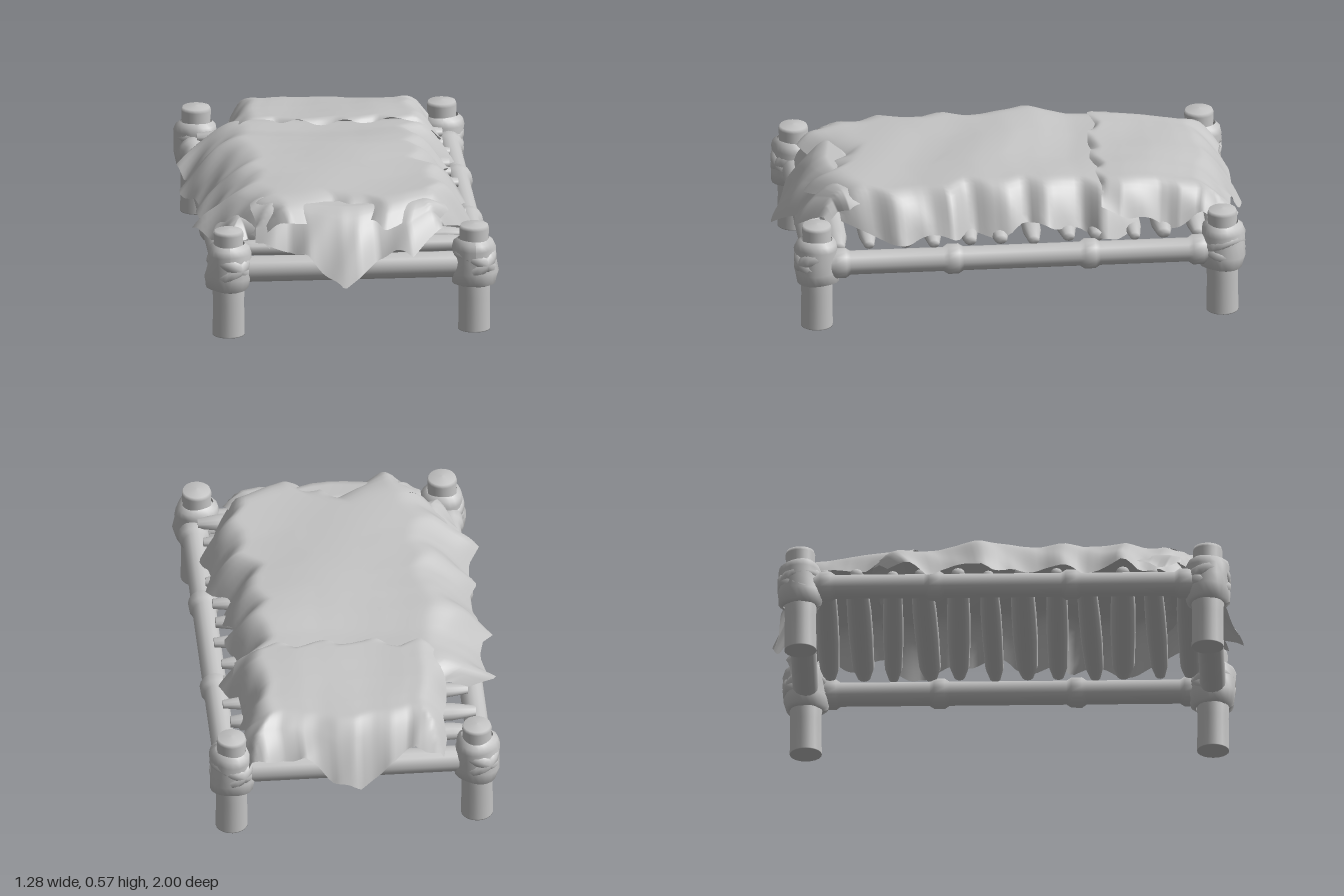
import * as THREE from 'three';

const paleGrey = new THREE.MeshStandardMaterial({ color: 0xc4c4c4, side: THREE.DoubleSide });
paleGrey.name = 'paleGrey';

// Linear sample of evenly spaced keys, t from 0 to 1
function sample(keys, t) {
  const f = Math.min(Math.max(t, 0), 1) * (keys.length - 1);
  const i = Math.min(Math.floor(f), keys.length - 2);
  return THREE.MathUtils.lerp(keys[i], keys[i + 1], f - i);
}

function part(group, name, geometry, x = 0, y = 0, z = 0) {
  const mesh = new THREE.Mesh(geometry, paleGrey);
  mesh.name = name;
  mesh.position.set(x, y, z);
  group.add(mesh);
  return mesh;
}

// Lathe from [radius, height] pairs
const lathe = (points, sides = 20) =>
  new THREE.LatheGeometry(points.map(([r, y]) => new THREE.Vector2(r, y)), sides);

// Bamboo pole along y, with swollen nodes at the given heights
function pole(radius, length, nodes = []) {
  const h = length / 2;
  const pts = [[0, -h], [radius, -h]];
  for (const n of nodes) {
    pts.push([radius, n - 0.045], [radius * 1.25, n - 0.025], [radius * 1.27, n + 0.02], [radius, n + 0.04]);
  }
  pts.push([radius, h], [0, h]);
  return lathe(pts, 16);
}

// Ragged cloth: four edge outlines in plan, each with a drop and a roll-off width
function cloth({ left, right, back, front, top, drops, widths, power, seed }) {
  const geo = new THREE.PlaneGeometry(1, 1, 56, 56);
  const p = geo.attributes.position;
  for (let i = 0; i < p.count; i++) {
    const u = p.getX(i) + 0.5, v = 0.5 - p.getY(i);
    const x = THREE.MathUtils.lerp(sample(left, v), sample(right, v), u);
    const z = THREE.MathUtils.lerp(sample(back, u), sample(front, u), v);
    const fall = [u, 1 - u, v, 1 - v].map((d, k) => Math.pow(Math.max(0, 1 - d / widths[k]), power));
    const along = [v, v, u, u];
    let drop = 0;
    fall.forEach((f, k) => { drop = Math.max(drop, f * sample(drops[k], along[k])); });
    const edge = Math.max(...fall);
    const wrinkle = 0.005 * Math.sin(9 * x + 5 * z + seed) + 0.004 * Math.sin(13 * z - 7 * x + seed * 2);
    const fold = 0.012 * edge * Math.sin(31 * x + 27 * z + seed);
    p.setXYZ(i, x, sample(top, v) + wrinkle + fold - drop, z);
  }
  geo.computeVertexNormals();
  return geo;
}

// Lumpy rope wrap around a corner
function knotGeometry(seed) {
  const geo = lathe([[0.068, -0.1], [0.09, -0.09], [0.098, -0.04], [0.09, 0.01], [0.092, 0.06], [0.084, 0.085], [0.066, 0.1]], 22);
  const p = geo.attributes.position;
  for (let i = 0; i < p.count; i++) {
    const a = Math.atan2(p.getZ(i), p.getX(i));
    const s = 1 + 0.07 * Math.sin(3 * a + 25 * p.getY(i) + seed);
    p.setX(i, p.getX(i) * s);
    p.setZ(i, p.getZ(i) * s);
  }
  geo.computeVertexNormals();
  return geo;
}

export function createModel() {
  const model = new THREE.Group();
  model.name = 'bambooBed';
  const xL = -0.505, xR = 0.537, zF = 0.855, zB = -0.868;

  // Corner posts with rope lashings
  [[xL, zF], [xR, zF], [xL, zB], [xR, zB]].forEach(([x, z], i) => {
    const post = new THREE.Group();
    post.name = 'cornerPost';
    post.position.set(x, 0, z);
    part(post, 'leg', lathe([[0, 0], [0.068, 0], [0.068, 0.004], [0.066, 0.15], [0.069, 0.22], [0.06, 0.38], [0.063, 0.445], [0.058, 0.46], [0, 0.466]]));
    part(post, 'lashing', knotGeometry(i * 1.7), 0, 0.3, 0);
    for (const tilt of [-1, 1]) {
      const rope = part(post, 'ropeLoop', new THREE.TorusGeometry(0.08, 0.022, 8, 24), 0, 0.3, 0);
      rope.rotation.set(Math.PI / 2 + 0.35 * tilt, 0.5 * tilt, 0);
      rope.scale.z = 1.4;
    }
    model.add(post);
  });

  // Side rails with bamboo nodes, swollen where they meet the lashings
  for (const x of [-0.522, 0.557]) {
    part(model, 'sideRail', pole(0.051, 1.72, [-0.76, -0.3, 0.28, 0.76]), x, 0.288, 0).rotation.x = Math.PI / 2;
  }
  // Head and foot rails
  for (const z of [zF, zB]) {
    part(model, 'endRail', pole(0.055, 1.04), 0.015, 0.286, z).rotation.z = Math.PI / 2;
  }

  // Broad slats with tapered ends, laid across the side rails
  for (let i = 0; i < 12; i++) {
    const r = 0.037 + 0.004 * Math.sin(i * 2.3);
    const slatGeo = lathe([[0, -0.52], [r * 0.55, -0.52], [r * 0.9, -0.42], [r, -0.1], [r, 0.15], [r * 0.85, 0.42], [r * 0.5, 0.52], [0, 0.52]], 12);
    const slat = part(model, 'slat', slatGeo, 0.01 + 0.012 * Math.sin(i * 4.1), 0.352, -0.765 + i * 0.139);
    slat.rotation.set(0, 0.02 * Math.sin(i * 3.7), Math.PI / 2 * (i % 2 ? 1 : -1));
    slat.scale.z = 1.3;
  }

  // Main blanket
  part(model, 'blanket', cloth({
    left: [-0.5, -0.63, -0.6, -0.57, -0.59, -0.645, -0.59, -0.57, -0.56, -0.6, -0.575, -0.58, -0.63, -0.56, -0.54, -0.42, -0.37],
    right: [0.46, 0.5, 0.55, 0.45, 0.47, 0.51, 0.45, 0.5, 0.49, 0.45, 0.55, 0.52, 0.53, 0.56, 0.5, 0.47, 0.42],
    back: [-0.5, -0.56, -0.57, -0.55, -0.54, -0.54, -0.54, -0.52],
    front: [0.82, 0.84, 0.87, 0.83, 0.8, 0.73, 0.76, 0.8, 0.88, 0.84, 0.79, 0.76, 0.74],
    top: [0.5, 0.525, 0.53, 0.55, 0.56, 0.56, 0.555, 0.55, 0.55, 0.55, 0.55],
    drops: [[0.12, 0.21, 0.19, 0.24, 0.22, 0.23, 0.19, 0.21, 0.13], [0.17, 0.19, 0.15, 0.2, 0.18, 0.2, 0.15], [0.06, 0.03, 0.02, 0.02], [0.14, 0.06, 0.08, 0.04, 0.09, 0.06, 0.13]],
    widths: [0.24, 0.14, 0.08, 0.11], power: 1.8, seed: 0.4,
  }));

  // Upper sheet over the head end
  part(model, 'headSheet', cloth({
    left: [-0.36, -0.38, -0.37, -0.39, -0.4, -0.4, -0.39],
    right: [0.47, 0.49, 0.47, 0.49, 0.47, 0.48, 0.5, 0.48],
    back: [-0.93, -0.94, -0.92, -0.96, -0.97, -1.0, -0.99, -0.95, -0.93, -0.92, -0.95, -0.93],
    front: [-0.42, -0.37, -0.4, -0.36, -0.35, -0.36, -0.34, -0.37, -0.35, -0.37, -0.36],
    top: [0.49, 0.505, 0.525, 0.54, 0.55, 0.557],
    drops: [[0.15, 0.1, 0.12, 0.05], [0.16, 0.1, 0.17, 0.13, 0.1], [0.12, 0.1, 0.15, 0.25, 0.2, 0.11, 0.14, 0.12], [0.02, 0.01, 0.02, 0.01, 0.02]],
    widths: [0.12, 0.14, 0.28, 0.06], power: 1.8, seed: 2.1,
  }));

  // Hanging flap at the foot end
  part(model, 'footFlap', cloth({
    left: [-0.4, -0.4, -0.38, -0.39],
    right: [0.42, 0.44, 0.4, 0.42],
    back: [0.66, 0.66],
    front: [0.84, 0.87, 0.87, 0.92, 0.96, 1.0, 0.97, 0.9, 0.9, 0.93, 0.86, 0.8],
    top: [0.53, 0.53, 0.52],
    drops: [[0.03, 0.08], [0.05, 0.1], [0, 0], [0.12, 0.15, 0.15, 0.17, 0.23, 0.3, 0.24, 0.19, 0.16, 0.18, 0.11, 0.06]],
    widths: [0.12, 0.12, 0.1, 0.7], power: 1.6, seed: 1.2,
  }));

  // Crumpled under-layer at the front corner
  part(model, 'cornerFold', cloth({
    left: [-0.53, -0.55, -0.54, -0.5],
    right: [-0.33, -0.32, -0.34, -0.33],
    back: [0.54, 0.54],
    front: [0.74, 0.78, 0.76, 0.82, 0.86],
    top: [0.46, 0.46, 0.45],
    drops: [[0.08, 0.1, 0.07], [0, 0], [0, 0], [0.08, 0.05, 0.07]],
    widths: [0.5, 0.1, 0.1, 0.4], power: 1.5, seed: 3.3,
  }));

  return model;
}
